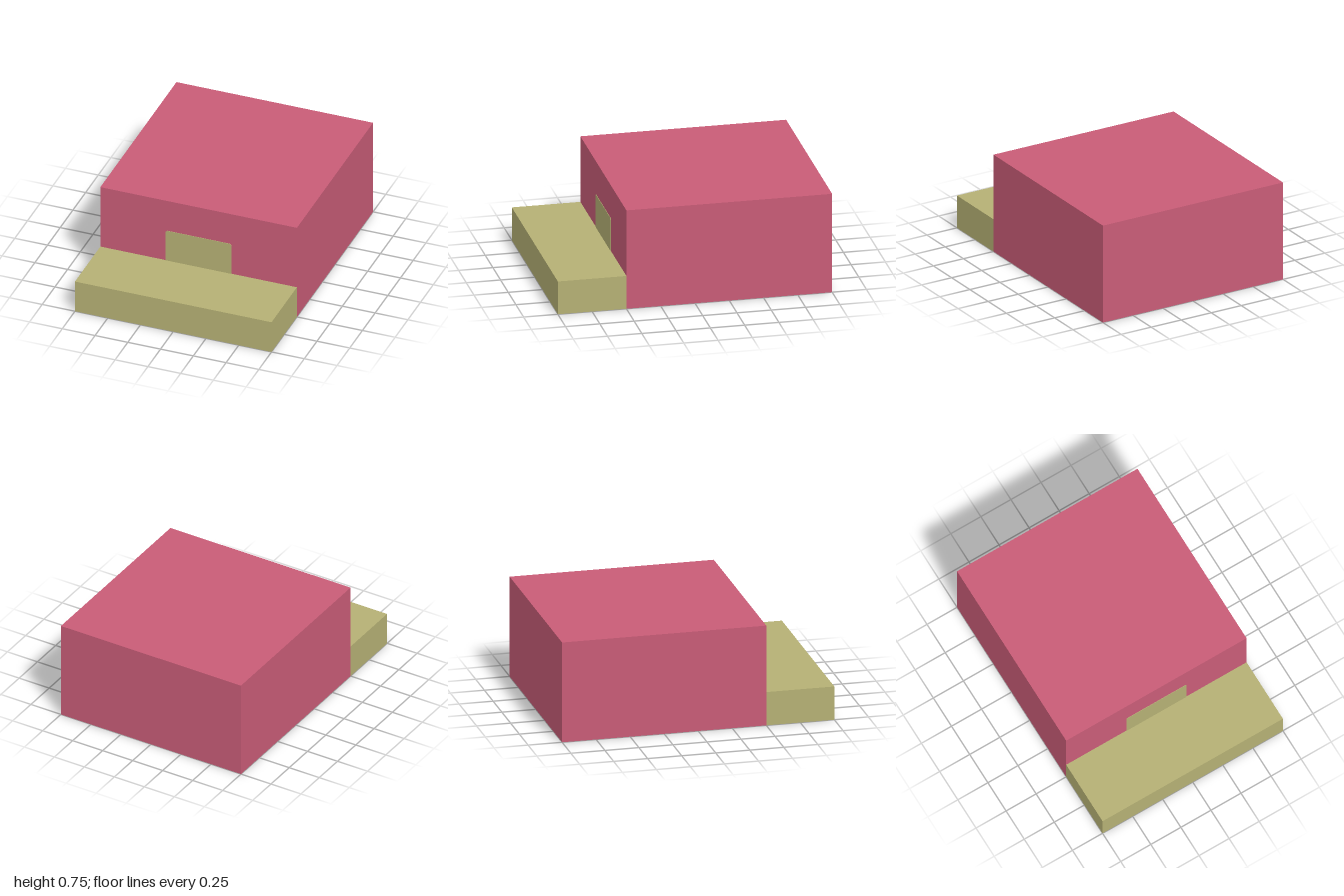
import * as THREE from 'three';

const rose = new THREE.MeshStandardMaterial({ name: 'rose', color: 0xc85c77 });
const olive = new THREE.MeshStandardMaterial({ name: 'olive', color: 0xb5b074 });

function box(name, material, size, position) {
  const mesh = new THREE.Mesh(new THREE.BoxGeometry(...size), material);
  mesh.name = name;
  mesh.position.set(...position);
  return mesh;
}

function rect(Type, x0, x1, y0, y1) {
  return new Type().setFromPoints([
    new THREE.Vector2(x0, y0), new THREE.Vector2(x1, y0),
    new THREE.Vector2(x1, y1), new THREE.Vector2(x0, y1),
  ]);
}

export function createModel() {
  const model = new THREE.Group();
  model.name = 'house';

  // Four walls around a square room, open at the bottom (plan drawn in x, -z)
  const plan = rect(THREE.Shape, -0.75, 0.75, -0.5, 1);
  plan.holes.push(rect(THREE.Path, -0.5, 0.5, -0.25, 0.75));
  const wallGeometry = new THREE.ExtrudeGeometry(plan, { depth: 0.5, bevelEnabled: false });
  wallGeometry.rotateX(-Math.PI / 2);
  const walls = new THREE.Mesh(wallGeometry, rose);
  walls.name = 'walls';
  model.add(walls);

  // Roof slab and front step
  model.add(box('roof', rose, [1.5, 0.25, 1.5], [0, 0.625, -0.25]));
  model.add(box('step', olive, [1.5, 0.25, 0.5], [0, 0.125, 0.75]));

  // Door panel with nipped top corners, on both faces of the front wall
  const panel = new THREE.Shape().setFromPoints([
    [-0.25, 0.25], [0.25, 0.25], [0.25, 0.49], [0.24, 0.5], [-0.24, 0.5], [-0.25, 0.49],
  ].map(([x, y]) => new THREE.Vector2(x, y)));
  const panelGeometry = new THREE.ExtrudeGeometry(panel, { depth: 0.004, bevelEnabled: false });
  for (const [name, z] of [['doorOutside', 0.499], ['doorInside', 0.247]]) {
    const door = new THREE.Mesh(panelGeometry, olive);
    door.name = name;
    door.position.z = z;
    model.add(door);
  }

  return model;
}
